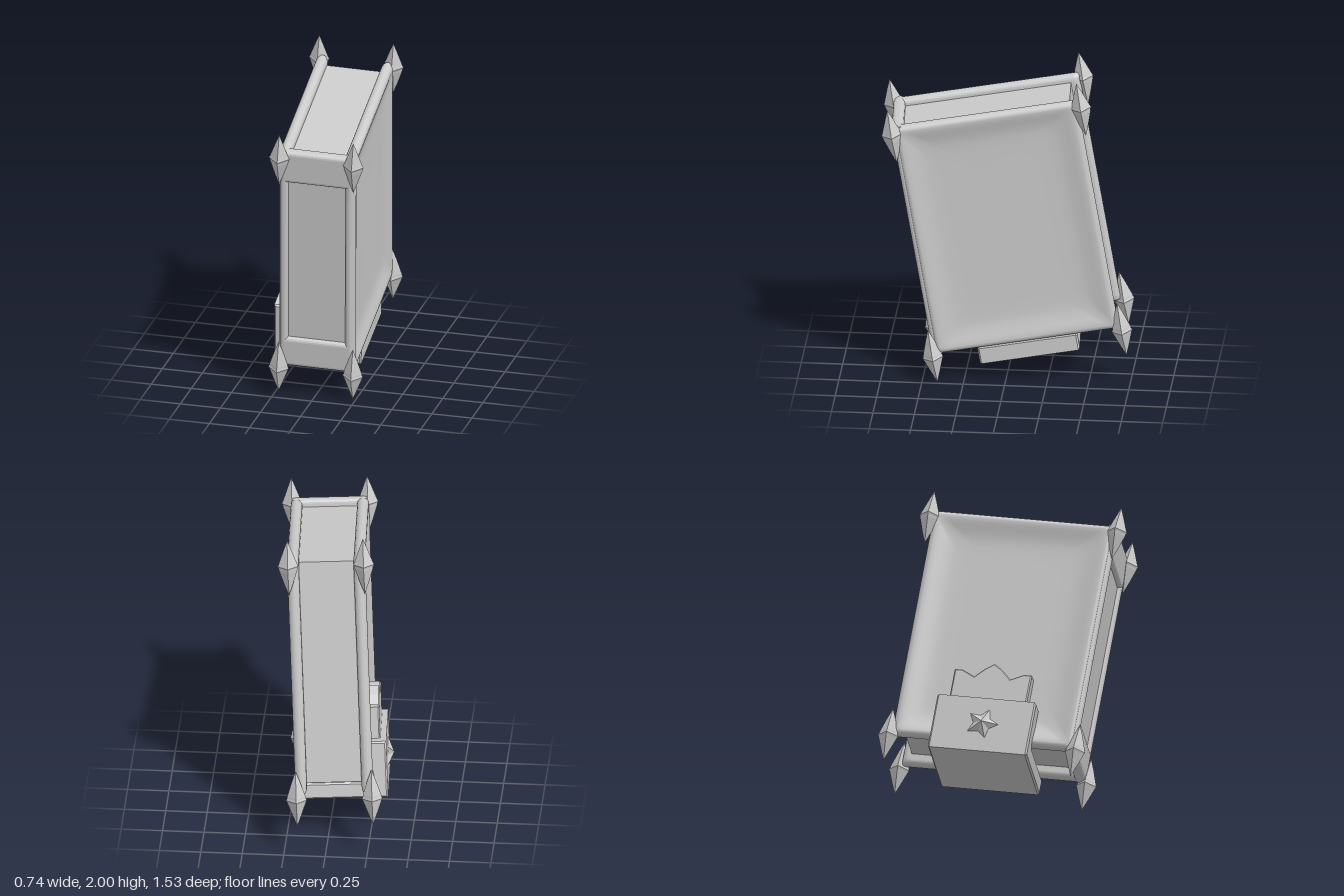
import * as THREE from 'three';

const smooth = new THREE.MeshStandardMaterial({ color: 0xcccccc });
const flat = new THREE.MeshStandardMaterial({ color: 0xcccccc, flatShading: true });

function add(parent, name, geometry, material, x = 0, y = 0, z = 0) {
  const mesh = new THREE.Mesh(geometry, material);
  mesh.name = name;
  mesh.position.set(x, y, z);
  parent.add(mesh);
  return mesh;
}

function box(parent, name, x0, x1, y0, y1, z0, z1) {
  return add(parent, name, new THREE.BoxGeometry(x1 - x0, y1 - y0, z1 - z0), flat,
    (x0 + x1) / 2, (y0 + y1) / 2, (z0 + z1) / 2);
}

const shapeOf = pts => new THREE.Shape(pts.map(p => new THREE.Vector2(...p)));

// Cover board facing +x: nested rounded rectangles, round rim, dished middle
function coverGeometry(hy, hz) {
  const rim = 0.035, rings = [[hz, 0.165]];
  for (let i = 0; i <= 10; i++) {
    const t = Math.PI * i / 10;
    rings.push([rim - rim * Math.sin(t), 0.2 - rim * Math.cos(t)]);
  }
  rings.push([0.06, 0.231], [0.09, 0.222], [0.13, 0.212], [0.17, 0.206], [0.22, 0.204], [0.3, 0.203], [hz, 0.203]);
  const steps = 6, n = steps * 4, pos = [], idx = [];
  rings.forEach(([inset, x], j) => {
    const a = hz - inset, b = hy - inset, r = Math.min(0.02 + inset * 0.35, a);
    for (let k = 0; k < n; k++) {
      const c = Math.floor(k / steps);
      const t = (c + (k % steps) / (steps - 1)) * Math.PI / 2;
      const sa = c === 0 || c === 3 ? 1 : -1, sb = c < 2 ? 1 : -1;
      pos.push(x, sb * (b - r) + r * Math.sin(t), -(sa * (a - r) + r * Math.cos(t)));
      if (j) {
        const k1 = (k + 1) % n, p = (j - 1) * n, q = j * n;
        idx.push(p + k, p + k1, q + k1, p + k, q + k1, q + k);
      }
    }
  });
  const g = new THREE.BufferGeometry();
  g.setAttribute('position', new THREE.Float32BufferAttribute(pos, 3));
  g.setIndex(idx);
  g.computeVertexNormals();
  return g;
}

// Spine with a rounded outline and an open panel
function spineGeometry() {
  const w = 0.2, lo = -0.715, hi = 0.755, bev = 0.025;
  const s = shapeOf([[-w, lo], [w, lo], [w, hi], [-w, hi]]);
  s.holes.push(new THREE.Path([[-w, -0.565], [-w, 0.585], [w, 0.585], [w, -0.565]]
    .map(p => new THREE.Vector2(...p))));
  const g = new THREE.ExtrudeGeometry(s, {
    depth: 0.02, bevelEnabled: true, bevelThickness: bev, bevelSize: bev, bevelSegments: 4,
  });
  return g.translate(0, 0, 0.53);
}

// Pointed four-sided corner stud with a ridge round its middle
function studGeometry() {
  const profile = [[0, -0.185], [0.026, -0.115], [0.055, -0.025], [0.057, -0.012], [0.063, 0],
    [0.057, 0.012], [0.052, 0.026], [0.025, 0.1], [0, 0.165]];
  return new THREE.LatheGeometry(profile.map(p => new THREE.Vector2(...p)), 4);
}

// Low pointed star facing -x
function starGeometry() {
  const g = new THREE.ConeGeometry(0.12, 0.045, 10, 1);
  const p = g.attributes.position;
  for (let i = 0; i < p.count; i++) {
    const x = p.getX(i), z = p.getZ(i), r = Math.hypot(x, z);
    const k = Math.round(Math.atan2(x, z) / (Math.PI / 5));
    if (r > 0.01 && Math.abs(k) % 2) { p.setX(i, x * 0.55); p.setZ(i, z * 0.55); }
  }
  return g.rotateZ(Math.PI / 2);
}

export function createModel() {
  const root = new THREE.Group();
  root.name = 'tiltedBook';
  const tilt = new THREE.Group();
  tilt.name = 'tiltedParts';
  tilt.position.set(0.015, 1.0, 0);
  tilt.rotation.set(0.166, 0.054, -0.047);
  root.add(tilt);

  const book = new THREE.Group();
  book.name = 'book';
  book.position.y = 0.01;
  tilt.add(book);

  // Covers, spine and page block
  const cover = coverGeometry(0.76, 0.56);
  add(book, 'leftCover', cover, smooth, 0, 0.02, 0);
  add(book, 'rightCover', cover, smooth, 0, 0.02, 0).rotation.y = Math.PI;
  add(book, 'spine', spineGeometry(), smooth);
  box(book, 'spinePanel', -0.2, 0.2, -0.6, 0.62, 0.5, 0.55);
  box(book, 'pages', -0.175, 0.175, -0.67, 0.735, -0.505, 0.51);

  // Bracket under the book that folds up the right cover
  const bracket = shapeOf([[-0.305, -0.835], [0.21, -0.835], [0.21, -0.755], [-0.215, -0.755],
    [-0.215, -0.5], [-0.305, -0.5]]);
  add(book, 'claspBracket', new THREE.ExtrudeGeometry(bracket, {
    depth: 0.59, bevelThickness: 0.01, bevelSize: 0.01, bevelSegments: 1,
  }).translate(0, 0, -0.295), flat);

  // Crown-shaped strap end above the bracket
  const crown = shapeOf([[-0.23, -0.55], [0.23, -0.55], [0.23, -0.3], [0.19, -0.3], [0.11, -0.34],
    [0.05, -0.28], [0, -0.245], [-0.05, -0.28], [-0.11, -0.34], [-0.19, -0.3], [-0.23, -0.3]]);
  const strap = add(book, 'crownStrap', new THREE.ExtrudeGeometry(crown, {
    depth: 0.07, bevelThickness: 0.008, bevelSize: 0.008, bevelSegments: 1,
  }), flat, -0.2, 0, 0);
  strap.rotation.y = -Math.PI / 2;
  add(book, 'starOrnament', starGeometry(), flat, -0.33, -0.66, 0);

  // Corner studs
  const stud = studGeometry();
  for (const sx of [-1, 1]) for (const sy of [-1, 1]) for (const sz of [-1, 1]) {
    const m = add(tilt, 'cornerStud', stud, flat, sx * 0.228, sy * 0.745, sz * 0.577);
    if (sy < 0) m.rotation.x = Math.PI;
  }
  return root;
}
